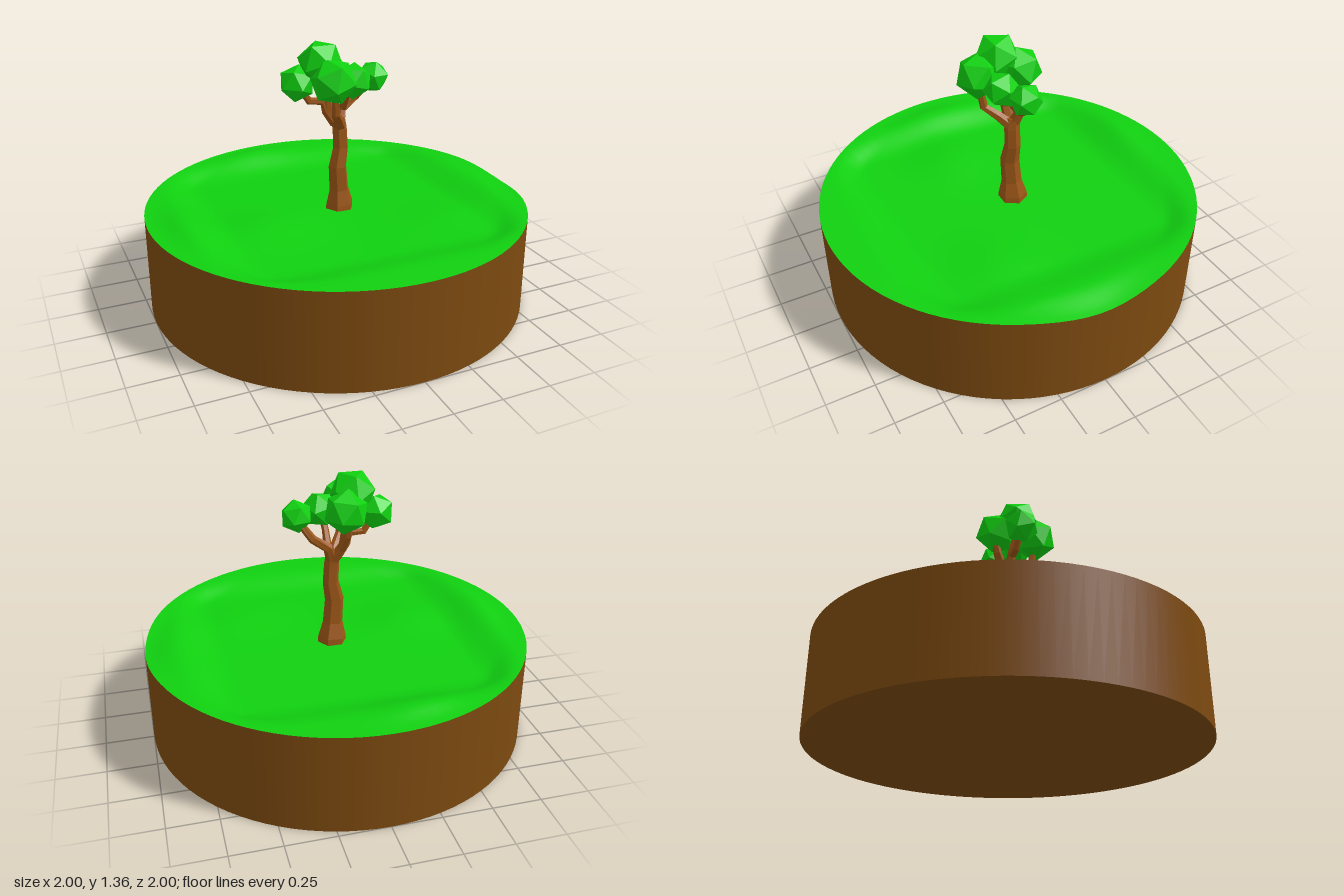
import * as THREE from 'three';

const V = (x, y, z) => new THREE.Vector3(x, y, z);
const material = (color, flatShading = false) =>
  new THREE.MeshStandardMaterial({ color, flatShading, roughness: 0.9 });
const smooth = THREE.MathUtils.smoothstep;
const bump = (x, z, cx, cz, sx, sz, h) =>
  h * Math.exp(-(((x - cx) / sx) ** 2) - ((z - cz) / sz) ** 2);

// Ground height: a squarish hollow with soft mounds, rising to a round rim
function groundHeight(x, z) {
  const r = Math.hypot(x, z);
  const m = Math.max(Math.abs(x), Math.abs(z));
  let h = 0.46 + 0.05 * smooth(m, 0.6, 0.84);
  h += bump(x, z, -0.45, 0.12, 0.25, 0.22, 0.03);
  h += bump(x, z, 0.5, 0.32, 0.25, 0.2, 0.02);
  h += bump(x, z, -0.2, -0.84, 0.25, 0.12, 0.025);
  h += bump(x, z, -0.82, 0.05, 0.12, 0.28, 0.025);
  const rim = 0.51 - (x > 0 ? 0.026 * Math.exp(-(((z - 0.05) / 0.25) ** 2)) : 0);
  return THREE.MathUtils.lerp(h, rim, smooth(r, 0.84, 1));
}

// Grass surface as rings of a disc lifted to the ground height
function grassGeometry(rings, sides) {
  const pos = [], index = [];
  for (let i = 0; i <= rings; i++) {
    for (let j = 0; j < sides; j++) {
      const a = (j / sides) * Math.PI * 2, r = i / rings;
      const x = Math.cos(a) * r, z = Math.sin(a) * r;
      pos.push(x, groundHeight(x, z), z);
      if (i === rings) continue;
      const k = (j + 1) % sides;
      const p = i * sides + j, q = i * sides + k;
      index.push(p, q + sides, p + sides);
      if (i > 0) index.push(p, q, q + sides);
    }
  }
  const g = new THREE.BufferGeometry();
  g.setAttribute('position', new THREE.Float32BufferAttribute(pos, 3));
  g.setIndex(index);
  g.computeVertexNormals();
  return g;
}

// Tapered, faceted limb through points given as [x, y, z, radius]
function limbGeometry(path, sides = 6) {
  const pts = path.map(([x, y, z]) => V(x, y, z));
  const pos = [], index = [];
  pts.forEach((p, i) => {
    const dir = pts[Math.min(i + 1, pts.length - 1)].clone()
      .sub(pts[Math.max(i - 1, 0)]).normalize();
    const turn = new THREE.Quaternion().setFromUnitVectors(V(0, 1, 0), dir);
    for (let j = 0; j < sides; j++) {
      const a = (j / sides) * Math.PI * 2;
      const c = V(Math.cos(a), 0, Math.sin(a)).multiplyScalar(path[i][3]);
      pos.push(...c.applyQuaternion(turn).add(p).toArray());
      if (i === pts.length - 1) continue;
      const b = i * sides + j, n = i * sides + ((j + 1) % sides);
      index.push(b, b + sides, n, n, b + sides, n + sides);
    }
  });
  // End cap
  const last = (pts.length - 1) * sides;
  for (let j = 1; j < sides - 1; j++) index.push(last, last + j + 1, last + j);
  const g = new THREE.BufferGeometry();
  g.setAttribute('position', new THREE.Float32BufferAttribute(pos, 3));
  g.setIndex(index);
  g.computeVertexNormals();
  return g;
}

export function createModel() {
  const model = new THREE.Group();
  const add = (parent, name, geometry, mat) => {
    const mesh = new THREE.Mesh(geometry, mat);
    mesh.name = name;
    parent.add(mesh);
    return mesh;
  };
  const soil = material(0x7d4a10);
  const grass = material(0x10d010);
  const bark = material(0x9a5516, true);
  const leaf = material(0x10d010, true);

  // Earth: round wall whose upper edge follows the grass rim, and its underside
  const sides = 96;
  const wall = new THREE.CylinderGeometry(1, 1, 0.5, sides, 1, true);
  wall.translate(0, 0.25, 0);
  const wp = wall.attributes.position;
  for (let i = 0; i < wp.count; i++) {
    if (wp.getY(i) > 0.1) wp.setY(i, groundHeight(wp.getX(i), wp.getZ(i)));
  }
  add(model, 'earthWall', wall, soil);
  add(model, 'earthUnderside', new THREE.CircleGeometry(1, sides).rotateX(Math.PI / 2), soil);
  add(model, 'grass', grassGeometry(40, sides), grass);

  const tree = new THREE.Group();
  tree.name = 'tree';
  model.add(tree);

  // Trunk and branches
  const limbs = {
    trunk: [[0.025, 0.45, -0.015, 0.078], [0.025, 0.49, -0.015, 0.075], [0.02, 0.57, -0.01, 0.053],
      [0.01, 0.7, -0.005, 0.05], [0.03, 0.8, -0.01, 0.042], [0.025, 0.9, -0.01, 0.04], [0.02, 0.96, -0.015, 0.036]],
    rightBranch: [[0.02, 0.91, -0.01, 0.034], [0.05, 1.0, -0.04, 0.027],
      [0.13, 1.055, -0.045, 0.022], [0.2, 1.15, 0, 0.018]],
    frontBranch: [[0.02, 0.92, 0, 0.032], [-0.01, 0.97, 0.05, 0.026],
      [-0.05, 1.02, 0.11, 0.022], [-0.06, 1.14, 0.13, 0.018]],
    backBranch: [[0.02, 0.92, -0.015, 0.034], [-0.02, 0.99, -0.04, 0.028],
      [-0.04, 1.07, -0.08, 0.023], [-0.04, 1.15, -0.1, 0.018]],
    leftBranch: [[0, 0.94, -0.01, 0.032], [-0.05, 1.01, -0.01, 0.027],
      [-0.07, 1.06, -0.01, 0.022], [-0.14, 1.065, -0.02, 0.02], [-0.19, 1.14, -0.02, 0.016]],
    topBranch: [[-0.04, 1.0, -0.01, 0.027], [-0.055, 1.1, 0, 0.022], [-0.08, 1.22, 0.02, 0.018]],
    middleBranch: [[0.05, 1.0, -0.035, 0.022], [0.05, 1.08, 0.02, 0.018], [0.06, 1.14, 0.06, 0.016]],
  };
  for (const [name, path] of Object.entries(limbs)) add(tree, name, limbGeometry(path), bark);

  // Faceted leaf clumps: x, y, z, radius
  [[-0.09, 1.265, 0.015, 0.12], [-0.07, 1.195, 0.125, 0.12], [-0.205, 1.165, -0.02, 0.095],
    [0.2, 1.165, 0.01, 0.085], [0.065, 1.17, 0.07, 0.095], [-0.03, 1.2, -0.085, 0.115]]
    .forEach(([x, y, z, r], i) => {
      const clump = add(tree, `leafClump${i + 1}`, new THREE.IcosahedronGeometry(r, 0), leaf);
      clump.position.set(x, y, z);
      clump.rotation.set(0.4 + i * 0.7, i * 1.3, 0.25 * i);
    });

  return model;
}
